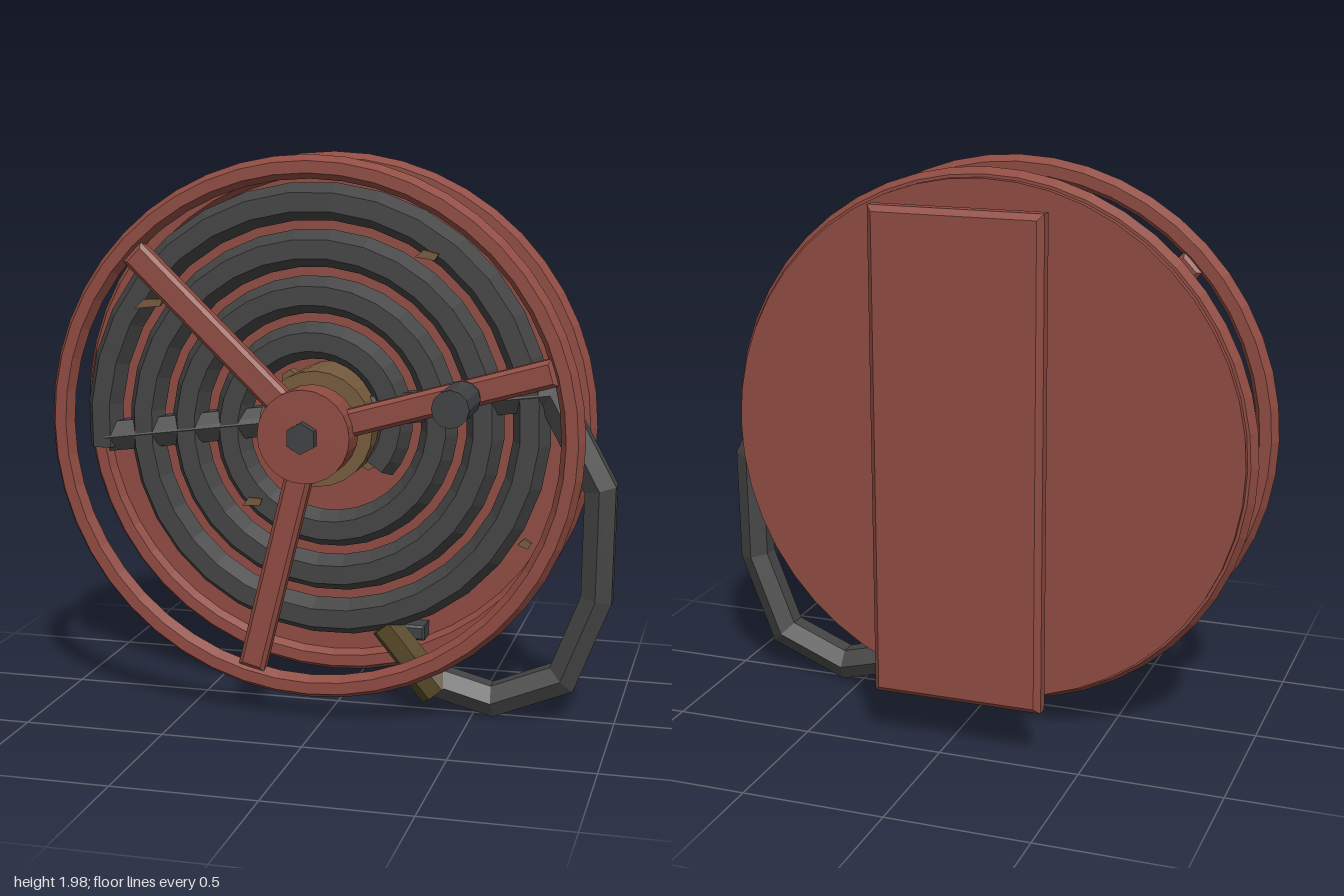
import * as THREE from 'three';

const CX = -0.05, CY = 1.045;           // reel axis

const mat = (name, color) => Object.assign(new THREE.MeshStandardMaterial({ color }), { name });

// faceted normals
function facet(geo) {
  const g = geo.index ? geo.toNonIndexed() : geo;
  g.computeVertexNormals();
  return g;
}

// sweep a regular polygon along a flat path of [x, y] points, mitred at the corners
function sweep(path, z, r, sides = 6, phase = 0) {
  const p = path.map(([x, y]) => new THREE.Vector2(x, y));
  const pos = [], idx = [], n = p.length;
  for (let i = 0; i < n; i++) {
    const a = p[Math.min(i + 1, n - 1)].clone().sub(p[Math.min(i, n - 2)]).normalize();
    const b = p[Math.max(i, 1)].clone().sub(p[Math.max(i - 1, 0)]).normalize();
    const t = a.clone().add(b).normalize();
    const miter = Math.min(1.4, 1 / Math.max(0.3, t.dot(a)));
    for (let j = 0; j < sides; j++) {
      const q = phase + j / sides * Math.PI * 2, c = Math.cos(q) * r * miter;
      pos.push(p[i].x - t.y * c, p[i].y + t.x * c, z + Math.sin(q) * r);
    }
  }
  for (let i = 0; i < n - 1; i++) for (let j = 0; j < sides; j++) {
    const a = i * sides + j, b = i * sides + (j + 1) % sides;
    idx.push(a, b, a + sides, b, b + sides, a + sides);
  }
  const e = (n - 1) * sides;
  for (let j = 1; j < sides - 1; j++) idx.push(0, j + 1, j, e, e + j, e + j + 1);
  const g = new THREE.BufferGeometry();
  g.setAttribute('position', new THREE.Float32BufferAttribute(pos, 3));
  g.setIndex(idx);
  return facet(g);
}

// box with chamfered edges, centred on the origin
function chamferBox(w, h, d, b) {
  const x = w / 2 - b, y = h / 2 - b;
  const s = new THREE.Shape([[-x, -y], [x, -y], [x, y], [-x, y]].map(c => new THREE.Vector2(...c)));
  const g = new THREE.ExtrudeGeometry(s, { depth: d - 2 * b, bevelSize: b, bevelThickness: b, bevelSegments: 1 });
  g.translate(0, 0, b - d / 2);
  return facet(g);
}

export function createModel() {
  const model = new THREE.Group();
  const red = mat('painted red', 0x8f4b41);
  const rubber = mat('black rubber', 0x444444);
  const metal = mat('dark metal', 0x3f4143);
  const brown = mat('bronze', 0x755a3c);
  const brass = mat('dark brass', 0x564727);

  const add = (name, geo, material, x = 0, y = 0, z = 0, rotZ = 0) => {
    const m = new THREE.Mesh(geo, material);
    m.name = name;
    m.position.set(x, y, z);
    m.rotation.z = rotZ;
    model.add(m);
    return m;
  };
  // cylinder along z between z0 and z1
  const disc = (name, material, r, z0, z1, sides, x = CX, y = CY) =>
    add(name, facet(new THREE.CylinderGeometry(r, r, z1 - z0, sides).rotateX(Math.PI / 2)),
      material, x, y, (z0 + z1) / 2);

  // reel flanges
  const rim = facet(new THREE.TorusGeometry(0.91, 0.041, 6, 48));
  add('frontRim', rim, red, CX, CY, 0.195);
  add('backRim', rim, red, CX, CY, -0.145);
  disc('backDisc', red, 0.92, -0.207, -0.14, 48);

  // spokes of the front flange
  for (let i = 0; i < 3; i++) {
    const a = (16 + i * 120) * Math.PI / 180, mid = 0.49;
    add('spoke', chamferBox(0.78, 0.095, 0.065, 0.014), red,
      CX + Math.cos(a) * mid, CY + Math.sin(a) * mid, 0.197, a);
  }

  // hub, axle and centre cap
  disc('hub', brown, 0.205, -0.14, 0.13, 24);
  disc('axle', brown, 0.17, -0.41, -0.2, 24);
  disc('hubCore', brown, 0.1, 0.12, 0.2, 16);
  disc('hubCap', red, 0.163, 0.16, 0.29, 24);
  disc('capBolt', metal, 0.055, 0.28, 0.326, 6);
  for (let i = 0; i < 4; i++) {
    const a = (45 + i * 90) * Math.PI / 180;
    disc('hubBolt', brown, 0.032, -0.115, -0.06, 6, CX + Math.cos(a) * 0.205, CY + Math.sin(a) * 0.205);
  }

  // crank handle
  disc('crankNeck', metal, 0.055, 0.2, 0.28, 12, 0.495, 1.195);
  disc('crankGrip', metal, 0.063, 0.272, 0.482, 12, 0.495, 1.195);

  // wall plate with its bolts
  add('wallPlate', chamferBox(0.605, 1.7, 0.08, 0.02), red, CX, 1.05, -0.44);
  for (const x of [-0.262, 0.162]) for (const y of [0.307, 1.785])
    disc('plateBolt', metal, 0.038, -0.405, -0.356, 6, x, y);

  // coiled hose, wound inward clockwise
  const coil = [], start = 188, sweepAngle = 1303, steps = 116;
  for (let i = 0; i <= steps; i++) {
    const deg = start - sweepAngle * i / steps, a = deg * Math.PI / 180;
    const r = 0.785 - 0.163 * (90 - deg) / 360;
    coil.push([CX + Math.cos(a) * r, CY + Math.sin(a) * r]);
  }
  add('coiledHose', sweep(coil, 0.006, 0.066), rubber);

  // hose run across the reel and the free loop
  const run = [[-0.86, 0.965], [0.76, 1.185], [0.935, 0.86], [0.93, 0.47], [0.815, 0.175], [0.57, 0.075], [0.34, 0.135]];
  add('looseHose', sweep(run, 0.004, 0.062, 6, Math.PI / 6), rubber);

  // nozzle with collar
  add('nozzle', sweep([[0.175, 0.32], [0.365, 0.09]], 0, 0.058), brass);
  add('nozzleCollar', sweep([[0.3, 0.185], [0.375, 0.095]], 0, 0.078, 8, Math.PI / 8), brass);

  // hose rest through the back disc
  add('hoseRest', chamferBox(0.175, 0.055, 0.215, 0.008), metal, 0.218, 0.278, -0.163);

  // small clips on the coil
  for (const [x, y, z, rot] of [[-0.67, 1.465, 0.075, 0.15], [0.33, 1.655, 0.055, -0.1], [-0.3, 0.76, 0.05, 0.1], [0.68, 0.66, 0.03, -0.25]]) {
    const w = z * 0.75;
    const s = new THREE.Shape([[-w, -0.012], [w * 0.7, -0.016], [w, 0.008], [-w * 0.3, 0.016]].map(c => new THREE.Vector2(...c)));
    add('hoseClip', facet(new THREE.ExtrudeGeometry(s, { depth: 0.02, bevelEnabled: false })), brown, x, y, z, rot);
  }
  return model;
}
